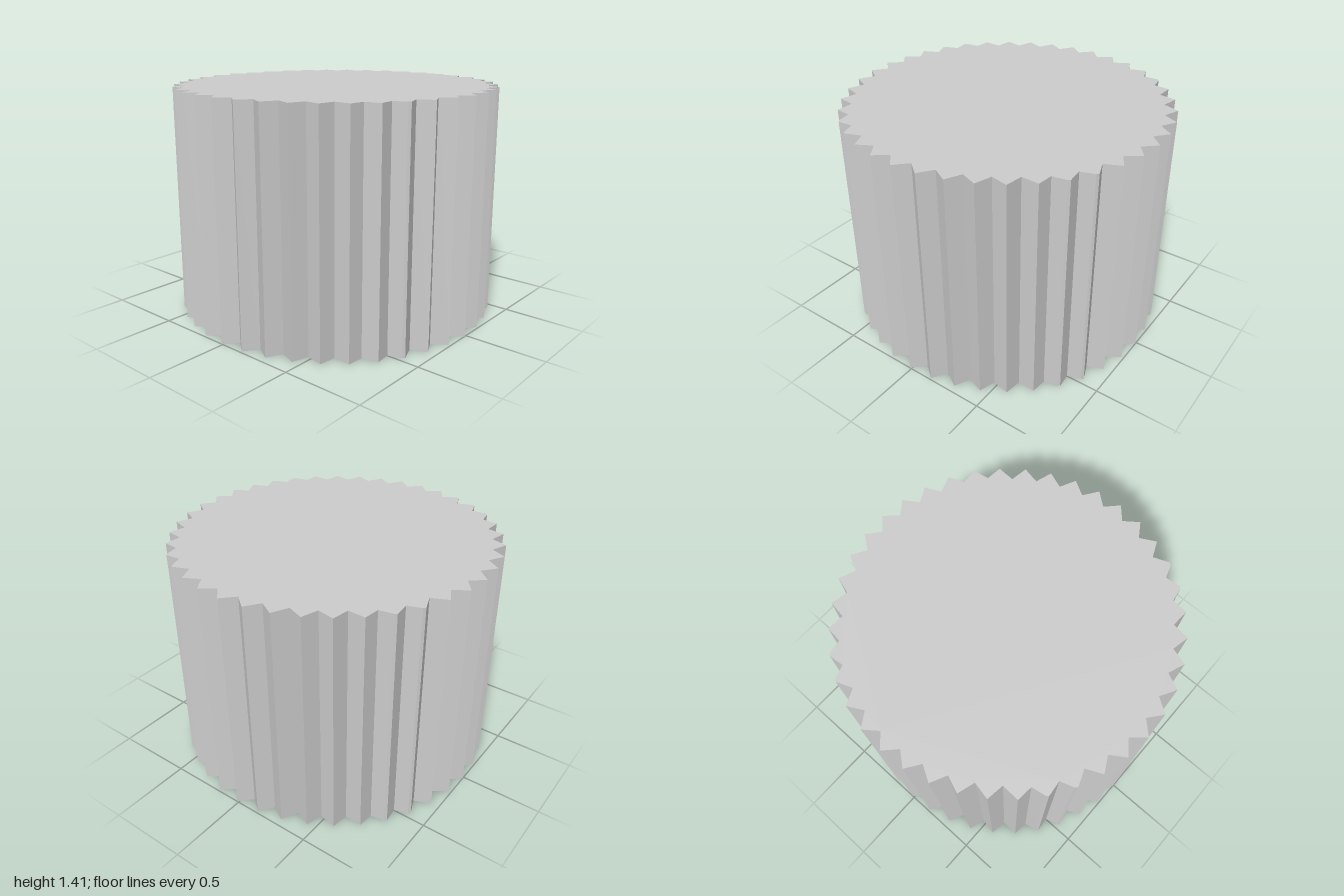
import * as THREE from 'three';

const TEETH = 40;
const HEIGHT = 1.41;
const ROOT = 0.925;
const OFFSET = 0.6; // degrees the whole ring of teeth is turned

// Outline of the toothed disc; two teeth in each quarter have a blunted tip
function gearShape() {
  const points = [];
  const add = (degrees, radius) => {
    const a = THREE.MathUtils.degToRad(degrees);
    points.push(new THREE.Vector2(radius * Math.sin(a), radius * Math.cos(a)));
  };
  const pitch = 360 / TEETH;
  for (let i = 0; i < TEETH; i++) {
    const tip = OFFSET + i * pitch;
    const k = i % 10;
    const blunt = k === 3 || k === 4;
    if (blunt) {
      add(tip - 0.3, 1);
      add(tip + 0.7, 0.996);
    } else {
      add(tip, 1);
    }
    add(tip + pitch / 2, blunt ? 0.94 : ROOT);
  }
  return new THREE.Shape(points);
}

export function createModel() {
  const group = new THREE.Group();
  group.name = 'gear';

  // Solid straight-toothed drum, extruded upward from the ground
  const geometry = new THREE.ExtrudeGeometry(gearShape(), { depth: HEIGHT, bevelEnabled: false });
  geometry.rotateX(-Math.PI / 2);
  const material = new THREE.MeshStandardMaterial({ color: 0xcccccc, flatShading: true });
  const drum = new THREE.Mesh(geometry, material);
  drum.name = 'toothedDrum';
  group.add(drum);

  return group;
}
